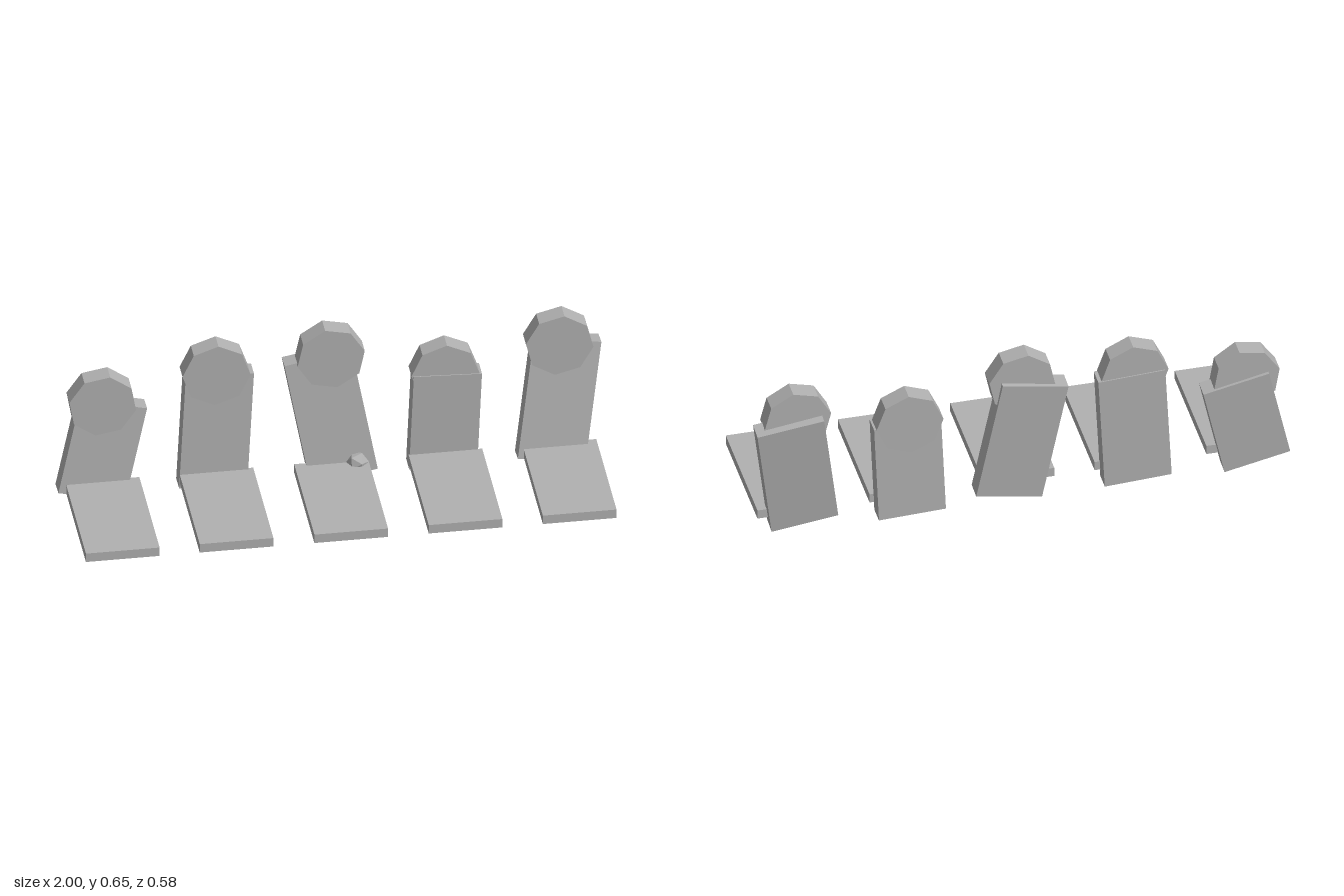
import * as THREE from 'three';

// One entry per grave: x, stone height, stone centre y, sideways tilt, backward lean
const GRAVES = [
  { x: -0.836, h: 0.385, y: 0.219, tilt: -0.22, lean: 0.06 },
  { x: -0.419, h: 0.475, y: 0.265, tilt: -0.055, lean: 0.02 },
  { x: 0.001, h: 0.508, y: 0.28, tilt: 0.18, lean: 0.065 },
  { x: 0.42, h: 0.4, y: 0.225, tilt: -0.04, lean: -0.02 },
  { x: 0.838, h: 0.48, y: 0.27, tilt: -0.14, lean: 0.125 },
];
const WIDTH = 0.25, DEPTH = 0.07, STONE_Z = -0.221;

export function createModel() {
  const model = new THREE.Group();
  model.name = 'graveRow';
  const stone = new THREE.MeshStandardMaterial({ color: 0xb0b0b0, flatShading: true });
  stone.name = 'greyStone';

  const add = (parent, name, geometry, x, y, z) => {
    const mesh = new THREE.Mesh(geometry, stone);
    mesh.name = name;
    mesh.position.set(x, y, z);
    parent.add(mesh);
    return mesh;
  };

  // Eight-sided disc facing the front
  const discGeometry = new THREE.CylinderGeometry(WIDTH / 2, WIDTH / 2, DEPTH + 0.001, 8);
  discGeometry.rotateX(Math.PI / 2);
  const slabGeometry = new THREE.BoxGeometry(0.27, 0.036, 0.48);

  for (const { x, h, y, tilt, lean } of GRAVES) {
    const grave = new THREE.Group();
    grave.name = 'grave';
    model.add(grave);

    // Ground slab
    add(grave, 'groundSlab', slabGeometry, x, 0.074, 0.049);

    // Leaning headstone
    const body = add(grave, 'headstone', new THREE.BoxGeometry(WIDTH, h, DEPTH), x, y, STONE_Z);
    body.rotation.set(-lean, 0, tilt);

    // Rounded top, tilted sideways but kept upright in depth
    const top = add(grave, 'headstoneTop', discGeometry, x, y + h / 2, STONE_Z);
    top.rotation.z = tilt;
  }

  // Small rock at the foot of the middle headstone
  const rock = add(model, 'rock', new THREE.IcosahedronGeometry(0.042, 0), 0.094, 0.093, -0.172);
  rock.rotation.set(0.3, 0.4, 0.1);
  return model;
}
